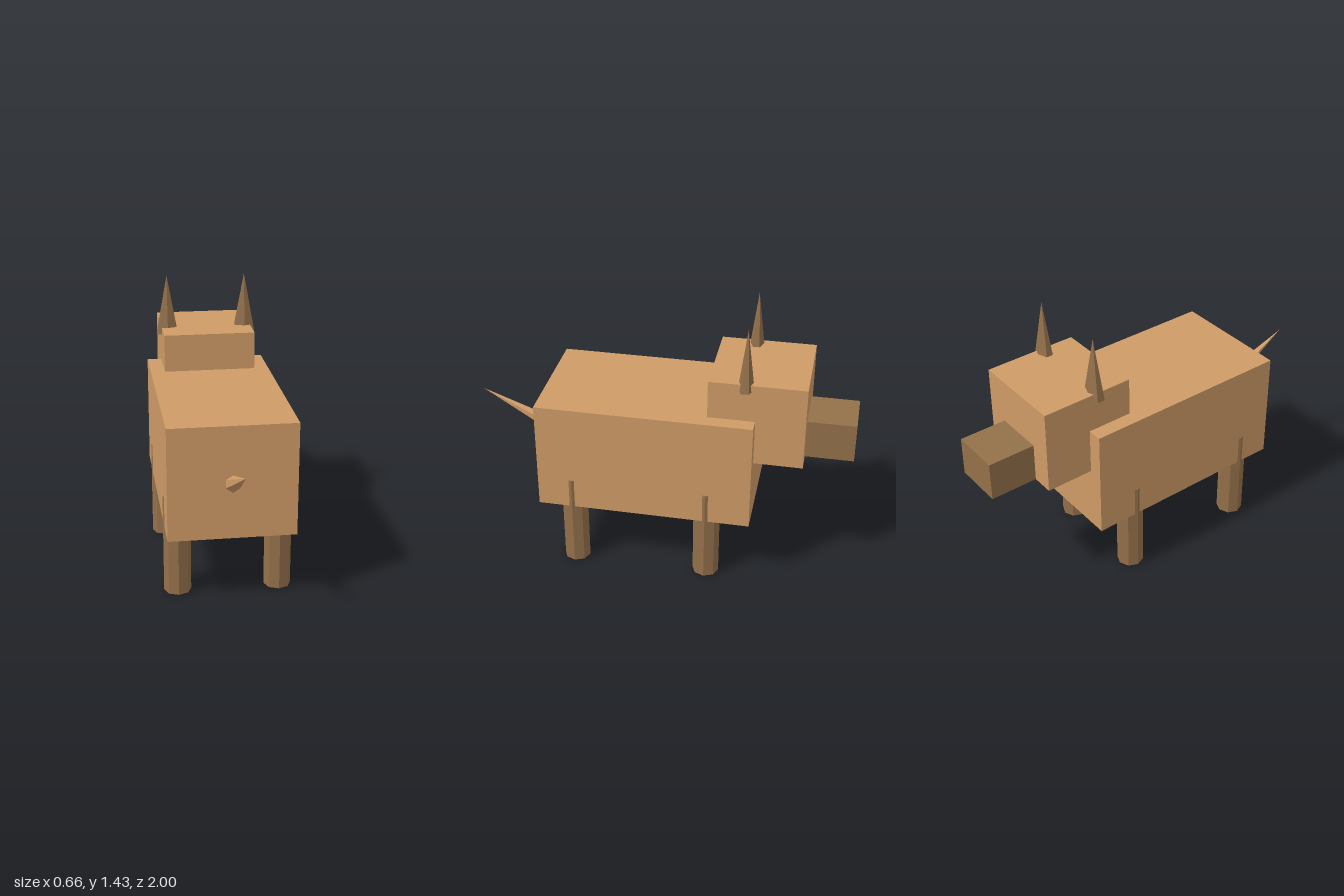
import * as THREE from 'three';

export function createModel() {
  const group = new THREE.Group();
  const light = new THREE.MeshStandardMaterial({ color: 0xcf9b67, flatShading: true });
  const dark = new THREE.MeshStandardMaterial({ color: 0x93704a, flatShading: true });

  const add = (name, geometry, material, x, y, z) => {
    const mesh = new THREE.Mesh(geometry, material);
    mesh.name = name;
    mesh.position.set(x, y, z);
    group.add(mesh);
    return mesh;
  };

  // Blocky torso, head and snout
  add('body', new THREE.BoxGeometry(0.644, 0.588, 1.12), light, 0, 0.651, 0.06);
  add('head', new THREE.BoxGeometry(0.49, 0.447, 0.492), light, 0, 0.9235, -0.505);
  add('snout', new THREE.BoxGeometry(0.26, 0.206, 0.25), dark, 0, 0.803, -0.875);

  const legGeometry = new THREE.CylinderGeometry(0.07, 0.07, 0.52, 8);
  const earGeometry = new THREE.ConeGeometry(0.066, 0.323, 6).scale(1, 1, 0.62);

  for (const [side, s] of [['left', 1], ['right', -1]]) {
    // Octagonal legs that rise into the body
    add(side + 'TailEndLeg', legGeometry, dark, s * 0.258, 0.26, 0.44);
    add(side + 'HeadEndLeg', legGeometry, dark, s * 0.258, 0.26, -0.27);
    // Flattened six-sided ears
    add(side + 'Ear', earGeometry, dark, s * 0.213, 1.2715, -0.445);
  }

  // Tapered tail, slanting up, with its origin at the tip
  const tailGeometry = new THREE.ConeGeometry(0.048, 0.5, 6).translate(0, -0.25, 0);
  add('tail', tailGeometry, light, 0, 0.835, 1).rotation.x = 1.112;

  return group;
}
